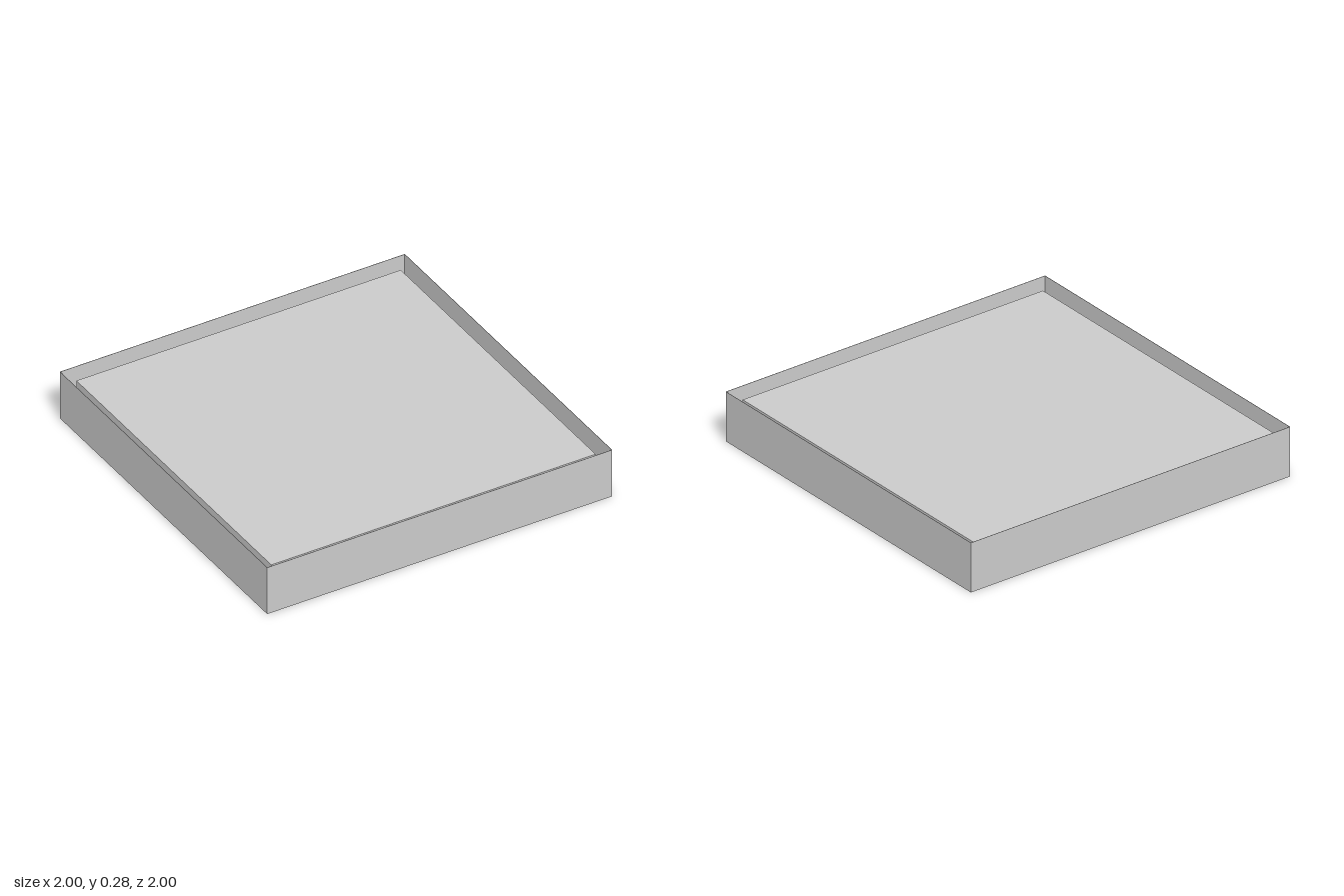
import * as THREE from 'three';

const HALF = 1, HEIGHT = 0.28;        // outer casing
const INNER = 0.94, CEILING = 0.24;   // reflector tray
const T = 0.002;                      // sheet thickness
const BAYS = 4, PITCH = (2 * INNER) / BAYS;

const material = new THREE.MeshStandardMaterial({ color: 0xcccccc });

function add(group, name, geometry, x = 0, y = 0, z = 0) {
  const mesh = new THREE.Mesh(geometry, material);
  mesh.name = name;
  mesh.position.set(x, y, z);
  group.add(mesh);
}

// Square ring lying flat, rising from y = 0
function squareRing(outer, inner, height) {
  const square = (Kind, h) => new Kind([
    new THREE.Vector2(-h, -h), new THREE.Vector2(h, -h),
    new THREE.Vector2(h, h), new THREE.Vector2(-h, h),
  ]);
  const shape = square(THREE.Shape, outer);
  shape.holes.push(square(THREE.Path, inner));
  const geometry = new THREE.ExtrudeGeometry(shape, { depth: height, bevelEnabled: false });
  return geometry.rotateX(-Math.PI / 2);
}

export function createModel() {
  const group = new THREE.Group();
  group.name = 'ceilingLight';
  const length = 2 * (INNER - T);

  // Casing, open on top, with a narrow rim around the lower opening
  add(group, 'casingWalls', squareRing(HALF, HALF - T, HEIGHT));
  add(group, 'bottomRim', squareRing(HALF - T, INNER, T));

  // Reflector tray inside, leaving a gap to the casing
  add(group, 'trayWalls', squareRing(INNER, INNER - T, CEILING));
  add(group, 'trayTop', new THREE.BoxGeometry(length, T, length), 0, CEILING - T / 2, 0);

  // Dividers between the bays, running from front to back
  for (let i = 1; i < BAYS; i++) {
    const divider = new THREE.BoxGeometry(T, CEILING - T, length);
    add(group, 'divider', divider, -INNER + i * PITCH, (CEILING - T) / 2, 0);
  }

  // One lamp tube per bay, running from front to back
  for (let i = 0; i < BAYS; i++) {
    const tube = new THREE.CylinderGeometry(0.065, 0.065, length, 32).rotateX(Math.PI / 2);
    add(group, 'lampTube', tube, -INNER + (i + 0.5) * PITCH, 0.165, 0);
  }

  return group;
}
